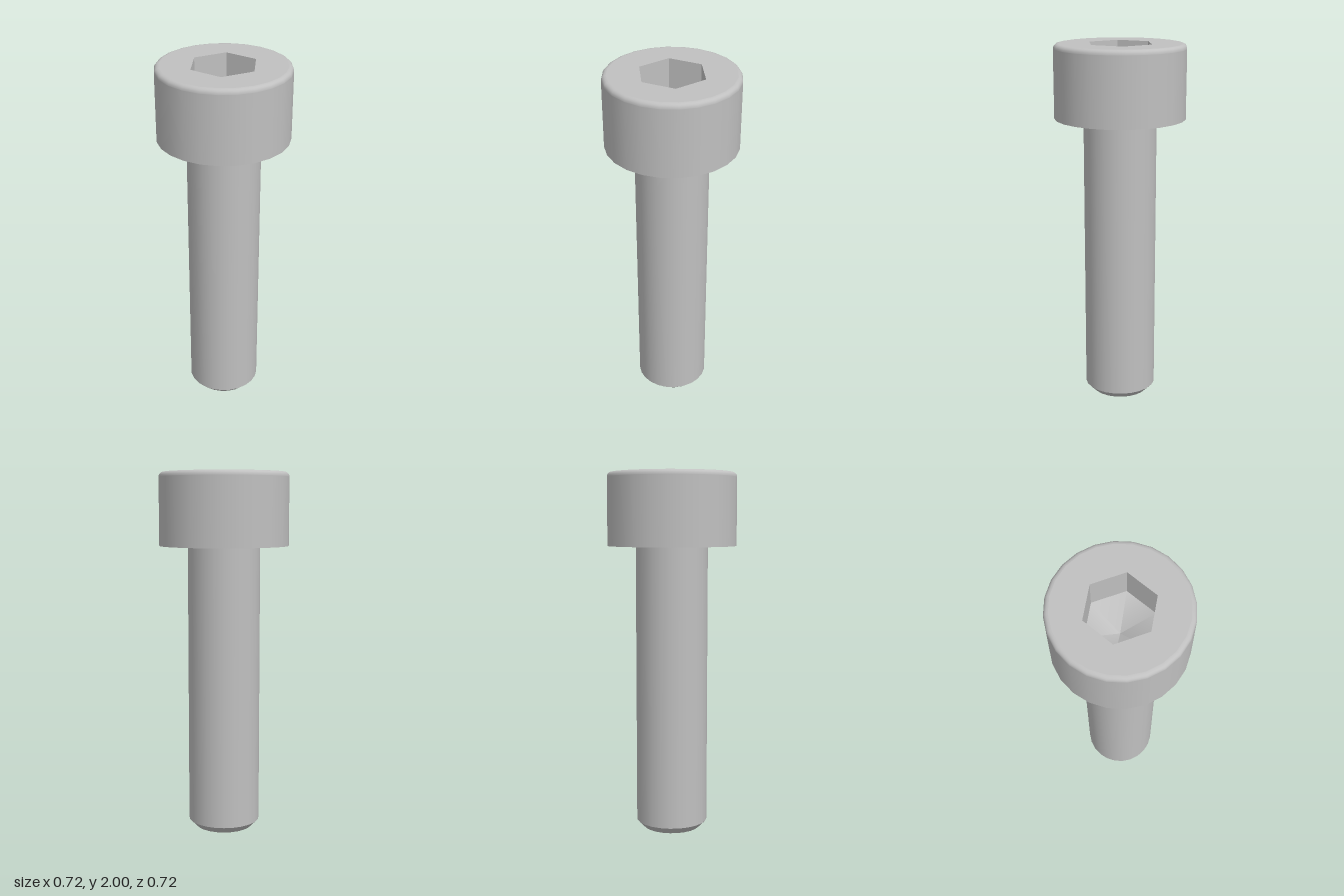
import * as THREE from 'three';

const SIDES = 24;
const SHAFT_R = 0.2, HEAD_R = 0.358, FILLET = 0.025, HEX_R = 0.185;
const HEAD_Y = 1.6, TOP_Y = 2, SOCKET_Y = 1.8, SOCKET_TIP_Y = 1.7;

const polygon = (radius, sides) => Array.from({ length: sides }, (_, i) => {
  const a = (i / sides) * Math.PI * 2;
  return new THREE.Vector2(Math.sin(a) * radius, Math.cos(a) * radius);
});

export function createModel() {
  const screw = new THREE.Group();
  screw.name = 'socketHeadScrew';
  const steel = new THREE.MeshStandardMaterial({ color: 0xc0c0c0 });
  steel.name = 'steel grey';

  const add = (name, geometry) => {
    const mesh = new THREE.Mesh(geometry, steel);
    mesh.name = name;
    screw.add(mesh);
    return mesh;
  };
  // Each profile is smooth along itself; separate profiles meet in sharp edges
  const turn = (name, points, sides = SIDES) =>
    add(name, new THREE.LatheGeometry(points.map(([r, y]) => new THREE.Vector2(r, y)), sides));

  // Shaft with chamfered end
  turn('shaftEnd', [[0, 0], [0.16, 0]]);
  turn('shaftChamfer', [[0.16, 0], [SHAFT_R, 0.04]]);
  turn('shaft', [[SHAFT_R, 0.04], [SHAFT_R, HEAD_Y]]);

  // Head: underside, then side wall running into a rounded rim
  turn('headUnderside', [[SHAFT_R, HEAD_Y], [HEAD_R, HEAD_Y]]);
  const side = [[HEAD_R, HEAD_Y], [HEAD_R, TOP_Y - FILLET - 0.002]];
  for (let i = 0; i <= 5; i++) {
    const a = (i / 5) * Math.PI / 2;
    side.push([HEAD_R - FILLET * (1 - Math.cos(a)), TOP_Y - FILLET * (1 - Math.sin(a))]);
  }
  turn('headSide', side);

  // Flat top face with a hexagonal opening
  const face = new THREE.Shape(polygon(HEAD_R - FILLET, SIDES));
  face.holes.push(new THREE.Path(polygon(HEX_R, 6)));
  add('headTop', new THREE.ShapeGeometry(face).rotateX(-Math.PI / 2).translate(0, TOP_Y, 0));

  // Hex socket: flat walls facing inward and a pointed floor
  const walls = new THREE.LatheGeometry(
    [new THREE.Vector2(HEX_R, TOP_Y), new THREE.Vector2(HEX_R, SOCKET_Y)], 6).toNonIndexed();
  walls.computeVertexNormals();
  add('socketWalls', walls);
  turn('socketFloor', [[HEX_R, SOCKET_Y], [0, SOCKET_TIP_Y]], 6);

  return screw;
}
